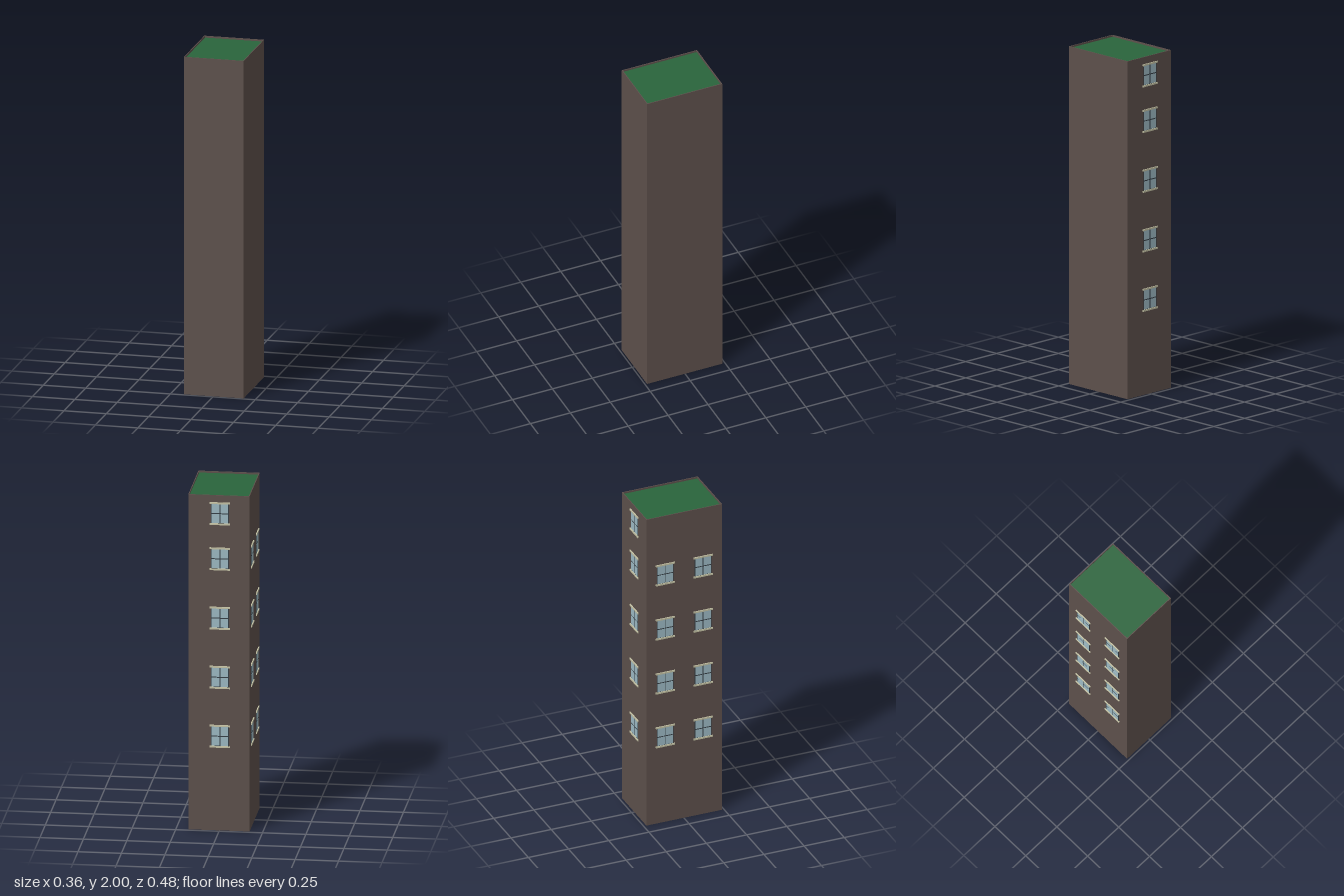
import * as THREE from 'three';

const mat = (color) => new THREE.MeshStandardMaterial({ color, flatShading: true });

export function createModel() {
  const tower = new THREE.Group();
  tower.name = 'tower';
  const wall = mat(0x5d504b), green = mat(0x2a653c);
  const glass = mat(0x9dbac4), dark = mat(0x353f46), stone = mat(0xc6c4a6);

  const W = 0.353, D = 0.471, H = 2, rim = 0.005, drop = 0.012;
  const cx = 0.0025, cz = 0.0025;

  const box = (parent, name, w, h, d, x, y, z, material) => {
    const m = new THREE.Mesh(new THREE.BoxGeometry(w, h, d), material);
    m.name = name;
    m.position.set(x, y, z);
    parent.add(m);
    return m;
  };

  // Main block and the roof surface sunk below the parapet
  box(tower, 'walls', W, H - drop, D, cx, (H - drop) / 2, cz, wall);
  box(tower, 'roof', W - 2 * rim, 0.002, D - 2 * rim, cx, H - drop + 0.001, cz, green);

  // Parapet ring
  const rect = (path, w, d) => {
    path.moveTo(-w / 2, -d / 2);
    path.lineTo(w / 2, -d / 2);
    path.lineTo(w / 2, d / 2);
    path.lineTo(-w / 2, d / 2);
    path.closePath();
    return path;
  };
  const ring = rect(new THREE.Shape(), W, D);
  ring.holes.push(rect(new THREE.Path(), W - 2 * rim, D - 2 * rim));
  const parapet = new THREE.Mesh(
    new THREE.ExtrudeGeometry(ring, { depth: drop, bevelEnabled: false }).rotateX(-Math.PI / 2), wall);
  parapet.name = 'parapet';
  parapet.position.set(cx, H - drop, cz);
  tower.add(parapet);

  // Window facing local +z with its back on the wall plane
  const makeWindow = () => {
    const g = new THREE.Group();
    g.name = 'window';
    box(g, 'frame', 0.104, 0.12, 0.001, 0, 0, 0.0005, dark);
    for (const sx of [-1, 1]) for (const sy of [-1, 1])
      box(g, 'pane', 0.045, 0.053, 0.001, sx * 0.0255, sy * 0.0295, 0.001, glass);
    box(g, 'sill', 0.118, 0.01, 0.006, 0, -0.0625, 0.003, stone);
    box(g, 'lintel', 0.118, 0.01, 0.006, 0, 0.0625, 0.003, stone);
    return g;
  };
  const addWindow = (x, y, z, turn) => {
    const g = makeWindow();
    g.position.set(x, y, z);
    g.rotation.y = turn;
    tower.add(g);
  };

  // One column on the back, two columns on the -x side
  const floors = [0.562, 0.914, 1.267, 1.621];
  for (const y of [...floors, 1.891]) addWindow(-0.003, y, cz - D / 2, Math.PI);
  for (const y of floors)
    for (const z of [-0.116, 0.119]) addWindow(cx - W / 2, y, z, -Math.PI / 2);

  return tower;
}
